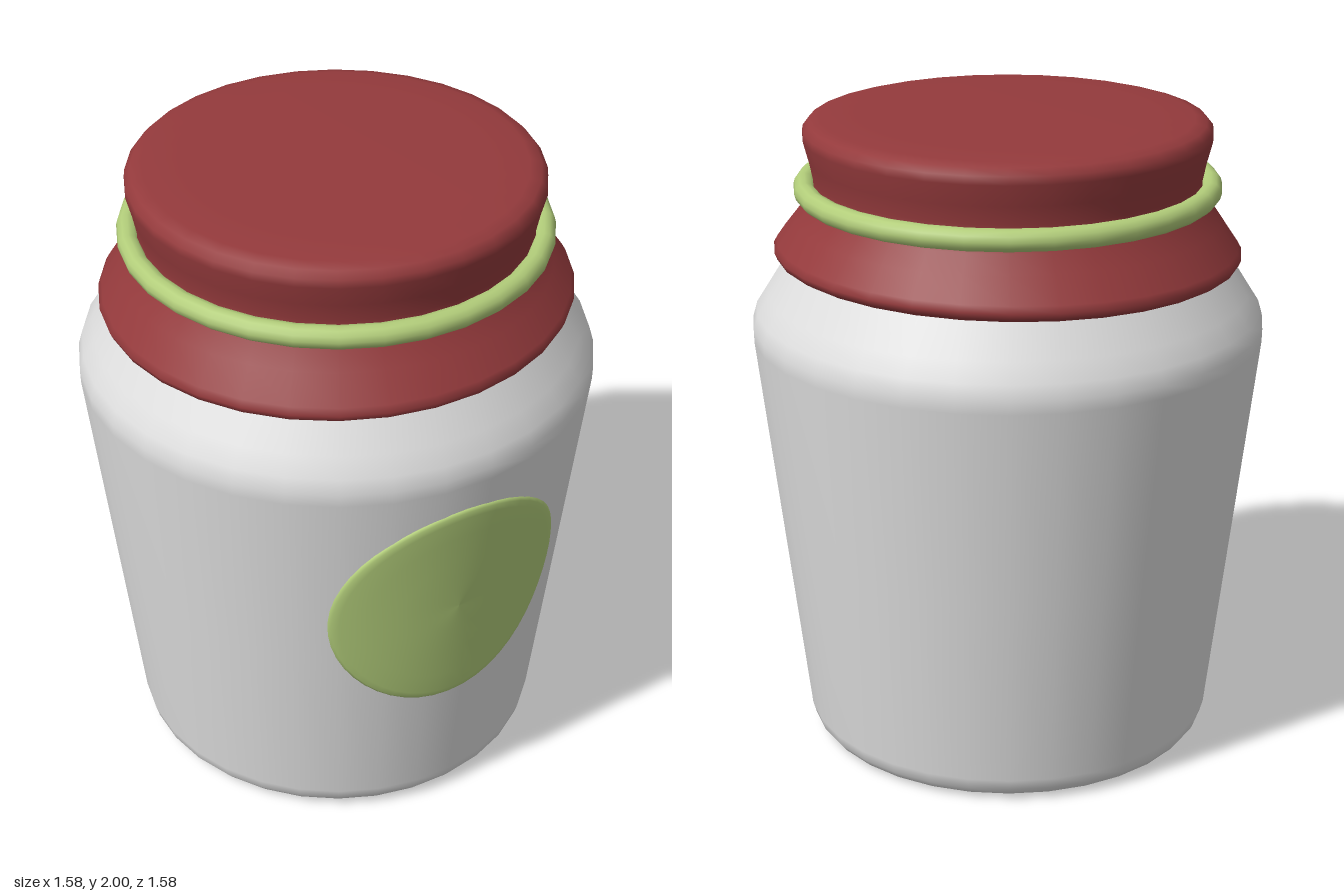
import * as THREE from 'three';

const SEGMENTS = 32;

function material(name, color) {
  const m = new THREE.MeshStandardMaterial({ color });
  m.name = name;
  return m;
}

function lathe(name, profile, mat) {
  const points = profile.map(([r, y]) => new THREE.Vector2(r, y));
  const mesh = new THREE.Mesh(new THREE.LatheGeometry(points, SEGMENTS), mat);
  mesh.name = name;
  return mesh;
}

// Round sticker wrapped around the tapered jar wall, with a turned-in rim
function wrappedLabel(mat) {
  const cx = 0.08, cy = 0.85, rx = 0.393, ry = 0.383, sides = 48;
  const rings = [[0, 0.011], [0.25, 0.011], [0.5, 0.011], [0.75, 0.011], [0.93, 0.011], [0.98, 0.008], [1, 0.002], [0.985, -0.012]];
  const positions = [], index = [];
  rings.forEach(([t, lift], i) => {
    for (let j = 0; j <= sides; j++) {
      const a = (j / sides) * Math.PI * 2;
      const x = cx + rx * t * Math.cos(a);
      const y = cy + ry * t * Math.sin(a);
      const wall = 0.645 + (0.142 * (y - 0.08)) / 1.24 + lift;
      positions.push(x, y, Math.sqrt(wall * wall - x * x));
      if (i > 0 && j < sides) {
        const p = (i - 1) * (sides + 1) + j, q = p + sides + 1;
        index.push(p, q, q + 1);
        if (i > 1) index.push(p, q + 1, p + 1);
      }
    }
  });
  const g = new THREE.BufferGeometry();
  g.setAttribute('position', new THREE.Float32BufferAttribute(positions, 3));
  g.setIndex(index);
  g.computeVertexNormals();
  const mesh = new THREE.Mesh(g, mat);
  mesh.name = 'label';
  return mesh;
}

export function createModel() {
  const group = new THREE.Group();
  group.name = 'jar';
  const glaze = material('pale grey', 0xdedede);
  const cloth = material('dark red', 0x943a3c);
  const green = material('soft green', 0xb2cd7a);

  // Tapered jar with rounded foot and shoulder
  group.add(lathe('jarBody', [
    [0, 0.006], [0.5, 0.004], [0.585, 0.008], [0.615, 0.02], [0.635, 0.045], [0.645, 0.08],
    [0.715, 0.69], [0.787, 1.32], [0.788, 1.36], [0.775, 1.405], [0.74, 1.46], [0.68, 1.555], [0.63, 1.63],
  ], glaze));

  // Cloth cover: hem, flared skirt, tied neck and flat top
  const cover = lathe('clothCover', [
    [0.62, 1.6], [0.66, 1.562], [0.69, 1.555], [0.708, 1.566], [0.716, 1.585], [0.705, 1.605],
    [0.65, 1.68], [0.61, 1.735], [0.592, 1.775], [0.592, 1.815], [0.603, 1.87], [0.62, 1.935],
    [0.618, 1.96], [0.6, 1.98], [0.565, 1.99], [0.45, 1.996], [0, 2],
  ], cloth);
  // The hem hangs slightly lower on one side
  const p = cover.geometry.attributes.position;
  for (let i = 0; i < p.count; i++) {
    const drop = Math.max(0, Math.min(1, (1.74 - p.getY(i)) / 0.14));
    p.setY(i, p.getY(i) + 0.02 * drop * p.getX(i));
  }
  cover.geometry.computeVertexNormals();
  // Keep the seam and centre smooth by copying matching edge normals
  const n = cover.geometry.attributes.normal;
  const rows = 17;
  for (let k = 0; k < rows; k++) {
    const last = SEGMENTS * rows + k;
    const v = new THREE.Vector3().fromBufferAttribute(n, k)
      .add(new THREE.Vector3().fromBufferAttribute(n, last)).normalize();
    n.setXYZ(k, v.x, v.y, v.z);
    n.setXYZ(last, v.x, v.y, v.z);
  }
  for (let i = 0; i <= SEGMENTS; i++) n.setXYZ(i * rows + rows - 1, 0, 1, 0);
  group.add(cover);

  // Band tied round the neck
  const band = new THREE.Mesh(new THREE.TorusGeometry(0.617, 0.034, 12, SEGMENTS), green);
  band.name = 'neckBand';
  band.rotation.x = Math.PI / 2;
  band.position.y = 1.778;
  group.add(band);

  group.add(wrappedLabel(green));
  return group;
}
